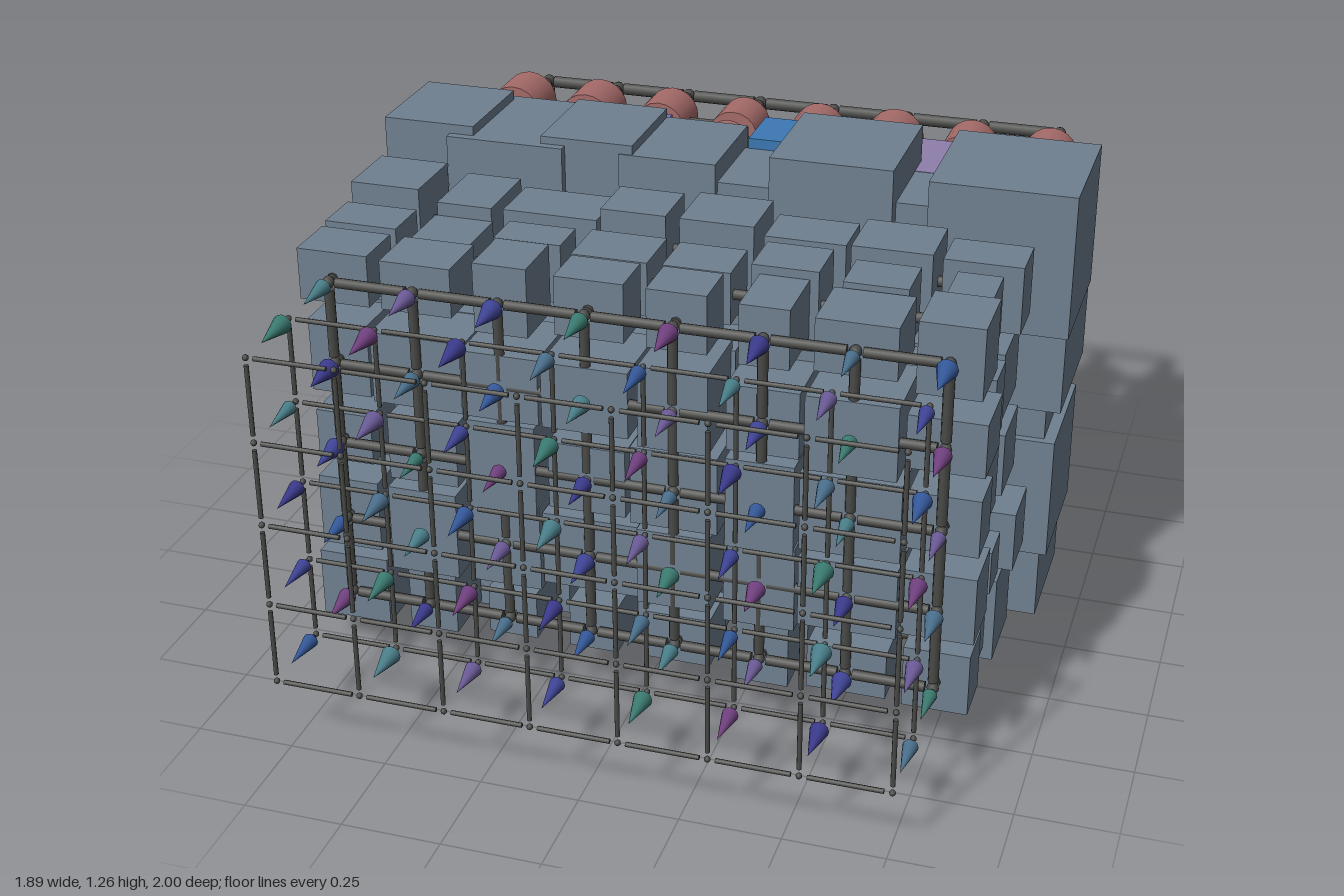
import * as THREE from 'three';
import { mergeGeometries } from 'three/addons/utils/BufferGeometryUtils.js';

const COLS = 8, ROWS = 5, LAYERS = 10;
const colX = i => -0.778 + 0.219 * i;
const rowY = j => 0.183 + 0.219 * j;
const layerZ = k => 0.99 - 0.219 * k;

// Small seeded generator for the varied block sizes
function seeded(seed) {
  let s = seed;
  return (lo, hi) => {
    s = (s * 1664525 + 1013904223) % 4294967296;
    return lo + (hi - lo) * (s / 4294967296);
  };
}

function eachCell(fn) {
  for (let j = 0; j < ROWS; j++) for (let i = 0; i < COLS; i++) fn(i, j);
}

const onEdge = (i, j) => i === 0 || i === COLS - 1 || j === 0 || j === ROWS - 1;
const box = (x, y, z, w, h, d) => new THREE.BoxGeometry(w, h, d).translate(x, y, z);

// Rod centred at a point, along the given axis
function rod(axis, x, y, z, r, len) {
  const g = new THREE.CylinderGeometry(r, r, len, 8);
  if (axis === 'x') g.rotateZ(Math.PI / 2);
  if (axis === 'z') g.rotateX(Math.PI / 2);
  return g.translate(x, y, z);
}

// Half widths and half heights of the largest blocks, bottom row first
const BIG_W = [
  [.125, .15, .17, .11, .1, .16, .1, .15],
  [.11, .15, .13, .16, .14, .13, .15, .17],
  [.17, .13, .15, .14, .16, .13, .14, .14],
  [.17, .14, .16, .13, .15, .16, .13, .18],
  [.125, .16, .125, .13, .1, .16, .1, .185],
];
const BIG_H = [
  [.14, .15, .165, .165, .13, .18, .1, .14],
  [.15, .14, .13, .16, .14, .15, .14, .165],
  [.17, .15, .14, .13, .16, .14, .13, .12],
  [.19, .14, .15, .16, .13, .15, .14, .18],
  [.185, .16, .18, .155, .1, .2, .1, .19],
];

// Tile colours and their arrangement, bottom row first
const TILE_COLORS = [0x8a5f9a, 0x5f8aa5, 0x7a72b0, 0x6d9a8a, 0x3c78b4, 0x3f8cb4, 0x8f7fab, 0x9a64a0];
const TILE_MAP = ['64254125', '20416527', '26135645', '74201566', '01234567'];

// Top row of tiles: half width and depth
const TOP_TILES = [[.125, .19], [.11, .14], [.095, .15], [.095, .14], [.08, .17], [.105, .16], [.13, .24], [.09, .15]];

export function createModel() {
  const model = new THREE.Group();
  const rand = seeded(17);
  const material = color => new THREE.MeshStandardMaterial({ color });
  const slate = material(0x708090), rose = material(0xa56b69), dark = material(0x4a4a48);

  const add = (name, parts, mat) => {
    const mesh = new THREE.Mesh(mergeGeometries(parts), mat);
    mesh.name = name;
    model.add(mesh);
  };

  // Lattice: thin wires in the two front layers, thicker rods behind
  for (let k = 0; k < LAYERS; k++) {
    const z = layerZ(k), thin = k < 2;
    const r = thin ? 0.006 : 0.0135 + 0.0006 * (k - 2);
    const rods = [], joints = [];
    eachCell((i, j) => {
      const x = colX(i), y = rowY(j);
      if (i < COLS - 1) rods.push(rod('x', x + 0.1095, y, z, r, 0.18));
      if (j < ROWS - 1) rods.push(rod('y', x, y + 0.1095, z, r, 0.18));
      if (k > 1 && k < LAYERS - 1) rods.push(rod('z', x, y, z - 0.1095, r, 0.18));
      // Arrow shafts between the front layers
      if (thin) rods.push(rod('z', x, y, z - 0.168, 0.008, 0.07));
      joints.push(new THREE.SphereGeometry(thin ? 0.008 : r + 0.002, 8, 6).translate(x, y, z));
    });
    add(thin ? 'wireGrid' : 'rodGrid', rods, dark);
    add('gridJoints', joints, dark);
  }

  // Coloured arrowheads of varied width, pointing forward
  const arrowColors = [0x34589a, 0x4a7f8a, 0x6b5a96, 0x3f4496, 0x3a7a70, 0x70407f, 0x3b3a8c, 0x4a6f8c]
    .map(material);
  const coneGeometry = new THREE.ConeGeometry(0.022, 0.108, 12).rotateX(Math.PI / 2);
  const arrows = new THREE.Group();
  arrows.name = 'arrowheads';
  for (let k = 0; k < 2; k++) {
    eachCell((i, j) => {
      const cone = new THREE.Mesh(coneGeometry, arrowColors[(i + j * 3 + k * 5) % 8]);
      const width = rand(0.8, 1.2);
      cone.name = 'arrowhead';
      cone.scale.set(width, width, 1);
      cone.position.set(colX(i), rowY(j), layerZ(k) - 0.133);
      arrows.add(cone);
    });
  }
  model.add(arrows);

  // Three layers of small blocks, growing toward the back
  const blockLayers = [
    { name: 'frontBlocks', z: 0.455, size: [0.12, 0.2], depth: [0.13, 0.18], bulge: 0.05 },
    { name: 'middleBlocks', z: 0.292, size: [0.11, 0.2], depth: [0.11, 0.17], bulge: 0.03 },
    { name: 'rearBlocks', z: 0.108, size: [0.14, 0.25], depth: [0.13, 0.21], bulge: 0.03 },
  ];
  for (const { name, z, size, depth, bulge } of blockLayers) {
    const parts = [];
    eachCell((i, j) => {
      const extra = onEdge(i, j) ? 0 : bulge;
      parts.push(box(colX(i), rowY(j), z,
        rand(...size) + extra, rand(...size) + extra, rand(...depth) + extra));
    });
    add(name, parts, slate);
  }

  // Overlapping layer of the largest blocks; wider ones are also deeper
  const big = [];
  eachCell((i, j) => big.push(box(colX(i), rowY(j), -0.237,
    2 * BIG_W[j][i], 2 * BIG_H[j][i], 0.12 + 1.4 * BIG_W[j][i])));
  add('largeBlocks', big, slate);

  // Coloured tiles behind the large blocks
  const tileMaterials = TILE_COLORS.map(material);
  const tiles = new THREE.Group();
  tiles.name = 'colouredTiles';
  eachCell((i, j) => {
    const [half, depth] = j === ROWS - 1 ? TOP_TILES[i] : [rand(0.09, 0.13), rand(0.14, 0.2)];
    const tile = new THREE.Mesh(box(colX(i), rowY(j), -0.45, 2 * half, rand(0.2, 0.27), depth),
      tileMaterials[TILE_MAP[j][i]]);
    tile.name = 'tile';
    tiles.add(tile);
  });
  model.add(tiles);

  // Two layers of drums along the rods, largest in the centre
  for (const z of [-0.59, -0.762]) {
    const drums = [];
    eachCell((i, j) => {
      const core = i > 1 && i < 6;
      const r = onEdge(i, j) ? rand(0.055, 0.082) : core ? rand(0.13, 0.18) : rand(0.09, 0.13);
      const len = onEdge(i, j) ? 0.05 + 1.15 * r : 0.05 + 1.2 * r;
      drums.push(new THREE.CylinderGeometry(r, r, len, 20).rotateX(Math.PI / 2)
        .translate(colX(i), rowY(j), z));
    });
    add('drums', drums, rose);
  }
  return model;
}
